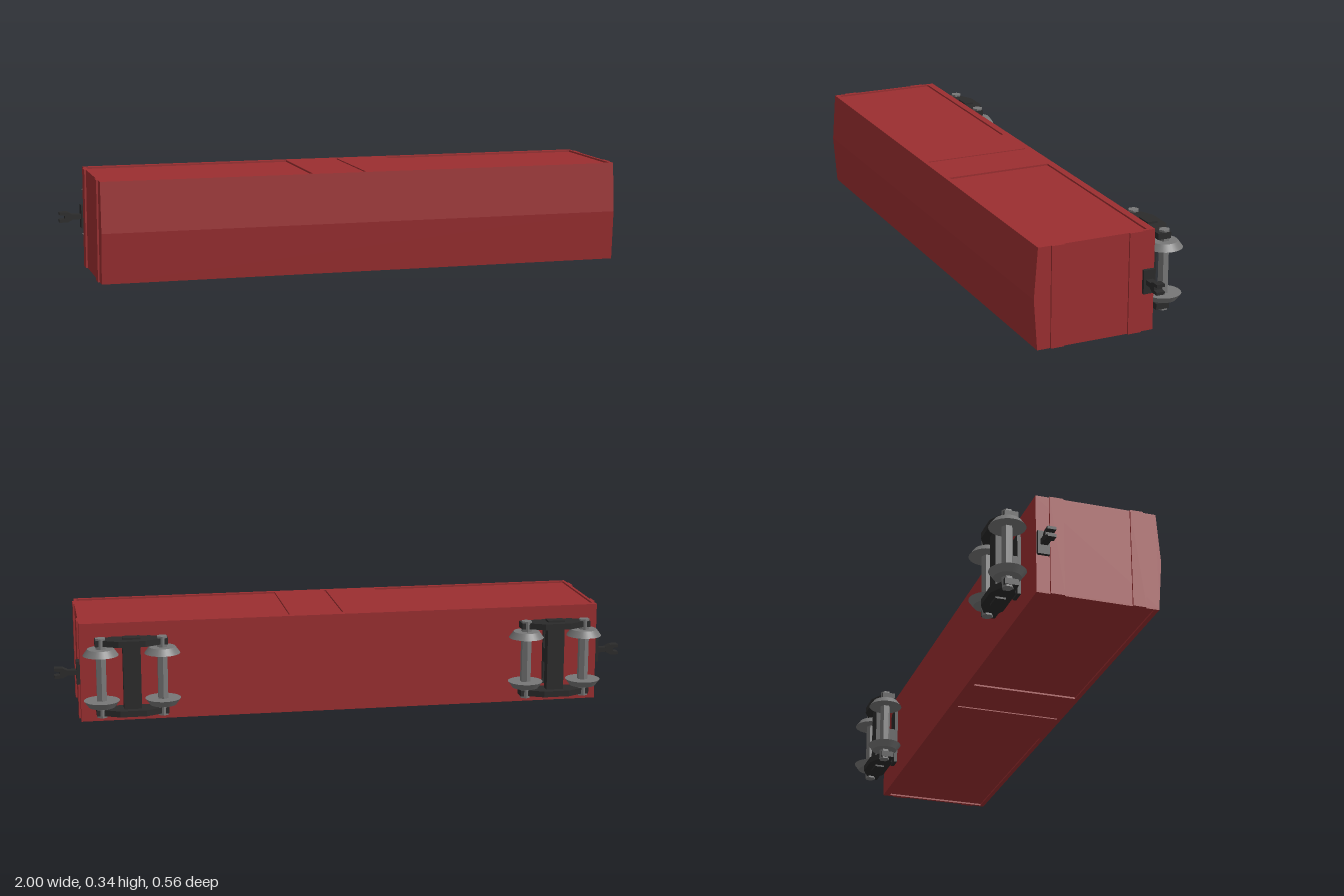
import * as THREE from 'three';

const red = new THREE.MeshStandardMaterial({ color: 0x9b2e30, flatShading: true });
const dark = new THREE.MeshStandardMaterial({ color: 0x2b2b2b, flatShading: true });
const steel = new THREE.MeshStandardMaterial({ color: 0x777777 });
const steelFlat = new THREE.MeshStandardMaterial({ color: 0x777777, flatShading: true });

const HALF = 0.172, LENGTH = 0.913, FLOOR = -0.145, EAVE = 0.265, RIDGE = 0.278;

function add(parent, name, geometry, material, x = 0, y = 0, z = 0) {
  const mesh = new THREE.Mesh(geometry, material);
  mesh.name = name;
  mesh.position.set(x, y, z);
  parent.add(mesh);
  return mesh;
}

// Box given by its size and the heights of its bottom and top
function slab(parent, name, material, w, bottom, top, d, x = 0, z = 0) {
  return add(parent, name, new THREE.BoxGeometry(w, top - bottom, d), material, x, (bottom + top) / 2, z);
}

function polygon(points) {
  return new THREE.Shape(points.map(([x, y]) => new THREE.Vector2(x, y)));
}

function rect(x0, x1, y0, y1) {
  return polygon([[x0, y0], [x1, y0], [x1, y1], [x0, y1]]);
}

function extrude(shape, depth) {
  const g = new THREE.ExtrudeGeometry(shape, { depth, bevelEnabled: false });
  return g.translate(0, 0, -depth / 2);
}

function buildBody() {
  const body = new THREE.Group();
  body.name = 'body';
  const skin = 0.006;
  slab(body, 'core', red, LENGTH * 2, FLOOR, EAVE, (HALF - skin) * 2);

  // Shallow gable roof running the full length
  const gable = polygon([[-HALF, EAVE], [HALF, EAVE], [0, RIDGE]]);
  add(body, 'roof', extrude(gable, LENGTH * 2), red).rotation.y = Math.PI / 2;

  // Side walls: raised frame and doors around sunken panels
  for (const s of [-1, 1]) {
    const wall = rect(-LENGTH, LENGTH, FLOOR, EAVE);
    wall.holes.push(
      rect(-0.903, -0.185, -0.12, 0.25),
      rect(0.185, 0.903, -0.12, 0.25),
      rect(-0.004, 0.004, -0.12, 0.25));
    add(body, 'sideWall', extrude(wall, skin), red, 0, 0, s * (HALF - skin / 2));
    // End ribs
    for (const [lo, hi] of [[0.175, 0.22], [-0.1, -0.053]]) {
      slab(body, 'endRib', red, 0.006, lo, hi, HALF * 2, s * (LENGTH + 0.003));
    }
  }
  return body;
}

function buildTruck() {
  const truck = new THREE.Group();
  truck.name = 'truck';
  slab(truck, 'bodyBolster', dark, 0.05, -0.157, FLOOR, 0.214);
  slab(truck, 'centrePivot', dark, 0.05, -0.2, -0.157, 0.052);
  slab(truck, 'truckBolster', dark, 0.06, -0.232, -0.197, 0.276);

  // Side frames, deepest in the middle
  const frame = polygon([
    [-0.123, -0.232], [-0.095, -0.232], [-0.045, -0.257], [0.045, -0.257], [0.095, -0.232], [0.123, -0.232],
    [0.123, -0.185], [0.08, -0.185], [0.065, -0.176], [-0.065, -0.176], [-0.08, -0.185], [-0.123, -0.185]]);
  for (const s of [-1, 1]) add(truck, 'sideFrame', extrude(frame, 0.021), dark, 0, 0, s * 0.121);

  // Wheelsets: hexagonal axles and wheels tapering outward
  for (const x of [-0.104, 0.104]) {
    const axle = add(truck, 'axle', new THREE.CylinderGeometry(0.019, 0.019, 0.276, 6), steelFlat, x, -0.217, 0);
    axle.rotation.x = Math.PI / 2;
    for (const s of [-1, 1]) {
      const wheel = add(truck, 'wheel', new THREE.CylinderGeometry(0.045, 0.061, 0.022, 32), steel, x, -0.217, s * 0.09);
      wheel.rotation.x = s * Math.PI / 2;
    }
  }
  return truck;
}

function buildCoupler() {
  const coupler = new THREE.Group();
  coupler.name = 'coupler';
  slab(coupler, 'couplerPocket', dark, 0.012, -0.143, -0.103, 0.081, LENGTH + 0.006);
  slab(coupler, 'couplerShank', dark, 0.05, -0.135, -0.11, 0.017, 0.943);
  // Forked head, drawn in plan
  const head = polygon([
    [0.955, -0.009], [0.972, -0.018], [1, -0.018], [1, -0.008], [0.981, -0.006],
    [0.981, 0.006], [1, 0.008], [1, 0.018], [0.972, 0.018], [0.955, 0.009]]);
  add(coupler, 'couplerHead', extrude(head, 0.029), dark, 0, -0.1225, 0).rotation.x = Math.PI / 2;
  return coupler;
}

export function createModel() {
  const model = new THREE.Group();
  model.name = 'boxcar';
  // The car lies on its side with its roof toward the front
  const car = new THREE.Group();
  car.name = 'car';
  car.rotation.x = Math.PI / 2;
  car.position.y = HALF;
  model.add(car);

  car.add(buildBody());
  for (const s of [-1, 1]) {
    const truck = buildTruck();
    truck.position.x = s * 0.741;
    car.add(truck);
    const coupler = buildCoupler();
    coupler.rotation.y = s < 0 ? Math.PI : 0;
    car.add(coupler);
  }
  return model;
}
